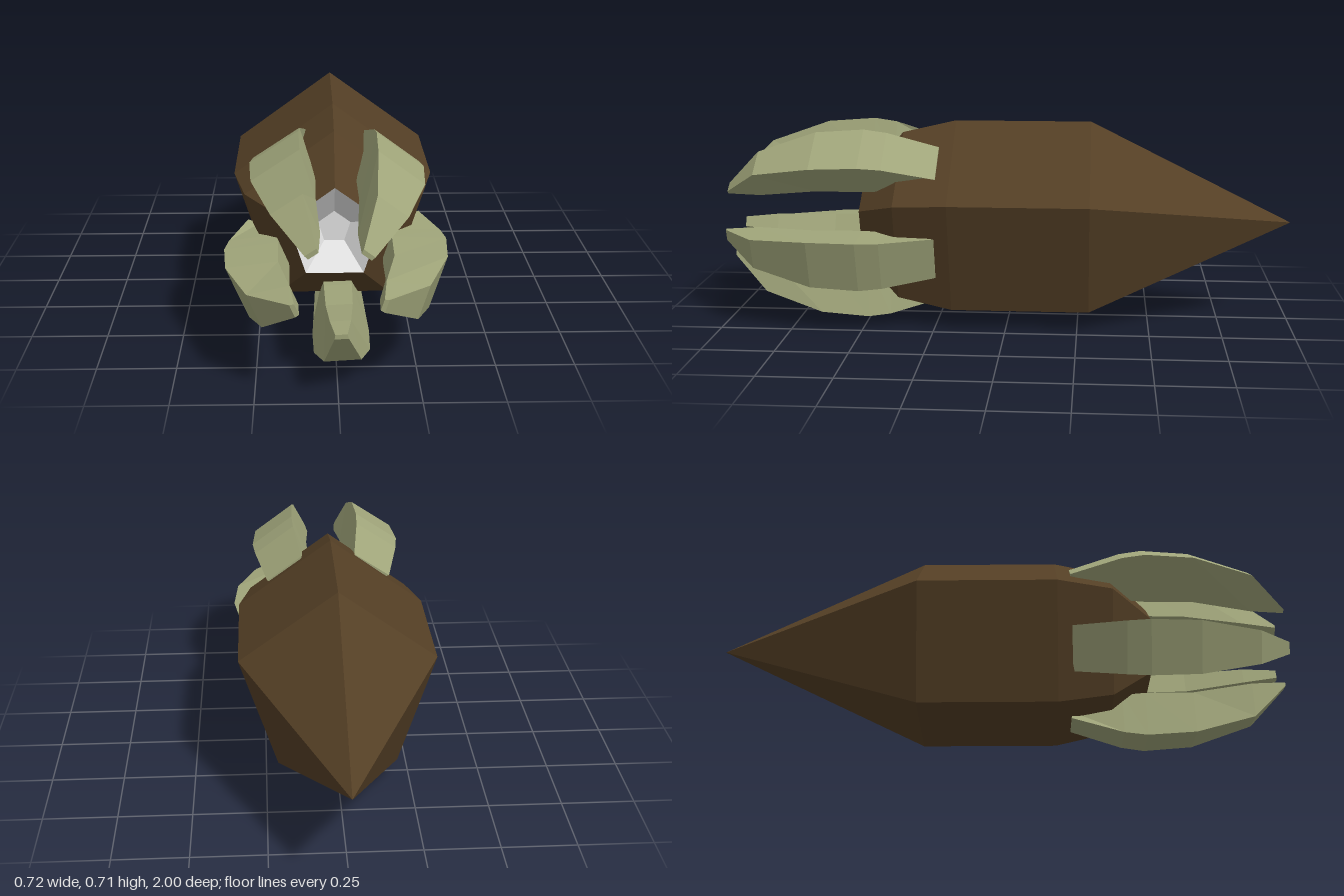
import * as THREE from 'three';

const CENTER_Y = 0.356;

function flat(name, hex) {
  const m = new THREE.MeshStandardMaterial({ color: hex, flatShading: true });
  m.name = name;
  return m;
}

// Five-sided solid of revolution along z, from [radius, z] points, one corner up
function pentagonShell(profile) {
  const points = profile.map(([r, z]) => new THREE.Vector2(r, z));
  return new THREE.LatheGeometry(points, 5, Math.PI).rotateX(Math.PI / 2);
}

// Curved claw lofted through trapezoid sections, pointing outward along +y
function clawGeometry() {
  // z, outer radius, outer half width, inner radius, inner half width
  const stations = [
    [0.24, 0.283, 0.078, 0.25, 0.05],
    [0.42, 0.339, 0.09, 0.187, 0.046],
    [0.5, 0.35, 0.094, 0.18, 0.046],
    [0.67, 0.338, 0.09, 0.178, 0.043],
    [0.88, 0.272, 0.057, 0.142, 0.032],
    [1, 0.147, 0.021, 0.133, 0.018],
  ];
  const pos = [];
  const index = [];
  for (const [z, ro, wo, ri, wi] of stations) {
    pos.push(-wi, ri, z, wi, ri, z, wo, ro, z, -wo, ro, z);
  }
  const last = (stations.length - 1) * 4;
  for (let i = 0; i < last; i += 4) {
    for (let j = 0; j < 4; j++) {
      const k = (j + 1) % 4;
      index.push(i + j, i + k, i + 4 + k, i + j, i + 4 + k, i + 4 + j);
    }
  }
  // End caps
  index.push(0, 3, 2, 0, 2, 1);
  index.push(last, last + 1, last + 2, last, last + 2, last + 3);
  const g = new THREE.BufferGeometry();
  g.setAttribute('position', new THREE.Float32BufferAttribute(pos, 3));
  g.setIndex(index);
  g.computeVertexNormals();
  return g;
}

export function createModel() {
  const brown = flat('darkBrown', 0x543f25);
  const green = flat('mossGreen', 0xa0a57a);
  const grey = flat('paleGrey', 0xe2e2e2);

  const model = new THREE.Group();
  model.name = 'clawedPod';

  function add(name, geometry, material) {
    const mesh = new THREE.Mesh(geometry, material);
    mesh.name = name;
    mesh.position.y = CENTER_Y;
    model.add(mesh);
    return mesh;
  }

  // Pointed body with a tapered front
  add('body', pentagonShell([[0, -1], [0.354, -0.29], [0.354, 0.19], [0.31, 0.38], [0.16, 0.52]]), brown);

  // Recessed socket in the front
  add('socket', pentagonShell([[0.16, 0.52], [0.056, 0.44], [0, 0.44]]), grey);

  // Ring of five slightly uneven claws
  const claw = clawGeometry();
  [-86.7, -18, 53.5, 123.5, 203.4].forEach((angle, i) => {
    add(`claw${i + 1}`, claw, green).rotation.z = THREE.MathUtils.degToRad(angle - 90);
  });

  return model;
}
